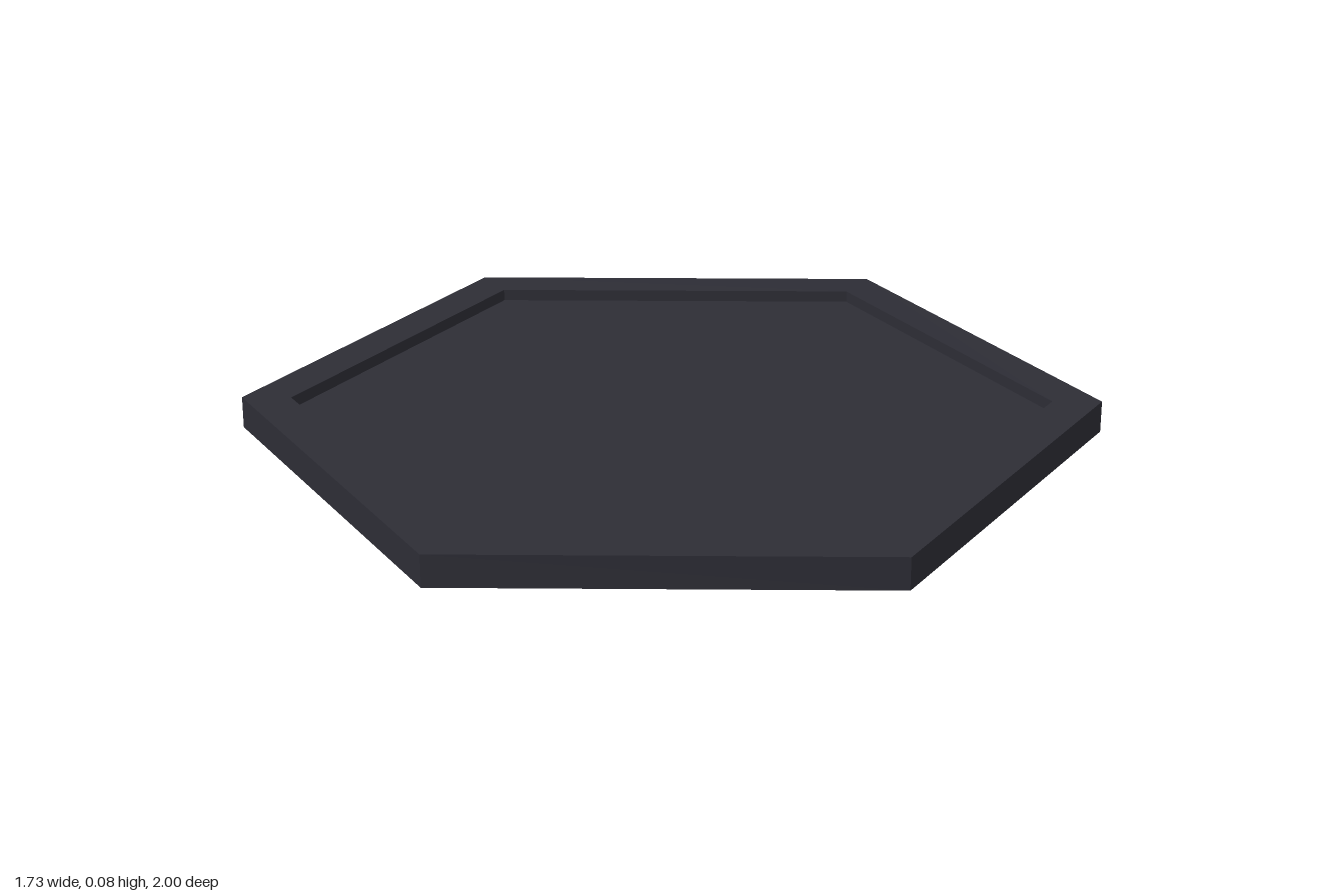
import * as THREE from 'three';

const HEIGHT = 0.075;
const INNER = 0.885;

export function createModel() {
  const group = new THREE.Group();
  group.name = 'hexTray';
  const charcoal = new THREE.MeshStandardMaterial({ color: 0x2d2d35, side: THREE.DoubleSide });
  charcoal.name = 'charcoal';

  // Hollow rim, open underneath: outer wall, flat top, short inner wall
  const profile = [
    [1, 0],
    [1, HEIGHT],
    [INNER, HEIGHT],
    [INNER, HEIGHT / 2],
  ].map(([r, y]) => new THREE.Vector2(r, y));
  const rimGeometry = new THREE.LatheGeometry(profile, 6).toNonIndexed();
  rimGeometry.computeVertexNormals();
  const rim = new THREE.Mesh(rimGeometry, charcoal);
  rim.name = 'rim';
  group.add(rim);

  // Recessed floor, slightly above the lower edge of the inner wall
  const floorGeometry = new THREE.CircleGeometry(INNER, 6, Math.PI / 2);
  floorGeometry.rotateX(-Math.PI / 2);
  const floor = new THREE.Mesh(floorGeometry, charcoal);
  floor.name = 'floor';
  floor.position.y = 0.047;
  group.add(floor);

  return group;
}
